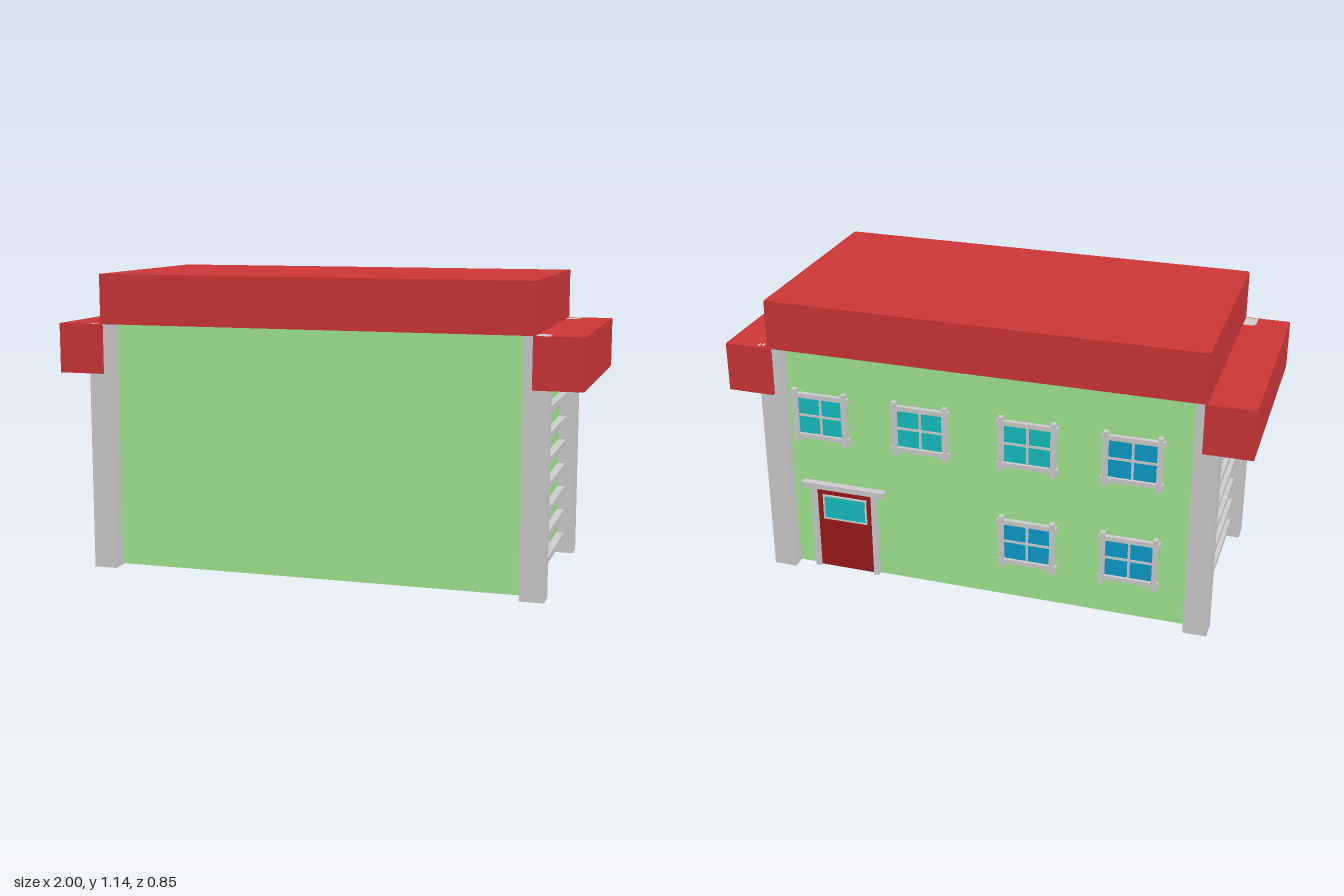
import * as THREE from 'three';

const mat = (color) => new THREE.MeshStandardMaterial({ color });

export function createModel() {
  const house = new THREE.Group();
  house.name = 'house';
  const grey = mat(0xcccccc), green = mat(0x9fe68d), red = mat(0xcc3535);
  const doorRed = mat(0x991818), teal = mat(0x14bec0), blue = mat(0x0a9cc8);

  // Box given by its minimum and maximum corners
  const box = (parent, name, material, [x0, y0, z0], [x1, y1, z1]) => {
    const mesh = new THREE.Mesh(new THREE.BoxGeometry(x1 - x0, y1 - y0, z1 - z0), material);
    mesh.position.set((x0 + x1) / 2, (y0 + y1) / 2, (z0 + z1) / 2);
    mesh.name = name;
    parent.add(mesh);
    return mesh;
  };
  // Box centred on x, y, z
  const bar = (parent, name, material, x, y, z, w, h, d) =>
    box(parent, name, material, [x - w / 2, y - h / 2, z - d / 2], [x + w / 2, y + h / 2, z + d / 2]);

  // Walls and roof
  const wallZ = 0.36;
  box(house, 'walls', green, [-0.81, 0.005, -wallZ], [0.81, 0.96, wallZ]);
  box(house, 'upperRoof', red, [-0.828, 0.95, -0.425], [0.828, 1.14, 0.425]);

  for (const side of [-1, 1]) {
    // Lower roof over each end
    bar(house, 'sideRoof', red, side * 0.91, 0.855, 0, 0.18, 0.19, 0.85);
    // Corner pillars
    bar(house, 'frontPillar', grey, side * 0.833, 0.475, 0.382, 0.09, 0.95, 0.077);
    bar(house, 'backPillar', grey, side * 0.833, 0.475, -0.37, 0.09, 0.95, 0.077);
    // Horizontal slats between the pillars
    for (let i = 0; i < 8; i++) {
      bar(house, 'slat', grey, side * 0.822, 0.071 + i * 0.0957, 0.006, 0.036, 0.024, 0.68);
    }
  }

  // Windows on the back wall
  const addWindow = (x, y, glass) => {
    const win = new THREE.Group();
    win.name = 'window';
    win.position.set(x, y, -wallZ);
    bar(win, 'glass', glass, 0, 0, 0, 0.2, 0.17, 0.012);
    bar(win, 'mullion', grey, 0, 0, -0.004, 0.009, 0.17, 0.012);
    bar(win, 'crossbar', grey, 0, 0, -0.004, 0.2, 0.009, 0.012);
    for (const s of [-1, 1]) {
      bar(win, 'frameUpright', grey, s * 0.1, 0, -0.011, 0.018, 0.22, 0.026);
      bar(win, 'frameRail', grey, 0, s * 0.085, -0.008, 0.235, 0.018, 0.02);
    }
    house.add(win);
  };
  addWindow(0.655, 0.664, teal);
  addWindow(0.25, 0.664, teal);
  addWindow(-0.17, 0.664, teal);
  addWindow(-0.565, 0.664, blue);
  addWindow(-0.17, 0.248, blue);
  addWindow(-0.565, 0.248, blue);

  // Back door with a glass pane, posts and lintel
  const door = new THREE.Group();
  door.name = 'door';
  door.position.set(0.575, 0, -wallZ);
  box(door, 'doorPanel', doorRed, [-0.12, 0.005, -0.008], [0.12, 0.36, 0.01]);
  box(door, 'doorGlass', teal, [-0.088, 0.225, -0.012], [0.088, 0.325, 0]);
  for (const s of [-1, 1]) {
    bar(door, 'doorPost', grey, s * 0.125, 0.183, -0.01, 0.02, 0.356, 0.024);
    bar(door, 'paneUpright', grey, s * 0.088, 0.275, -0.009, 0.006, 0.106, 0.012);
    bar(door, 'paneRail', grey, 0, 0.275 + s * 0.05, -0.009, 0.176, 0.006, 0.012);
  }
  bar(door, 'lintel', grey, 0, 0.37, -0.014, 0.345, 0.022, 0.03);
  house.add(door);

  return house;
}
